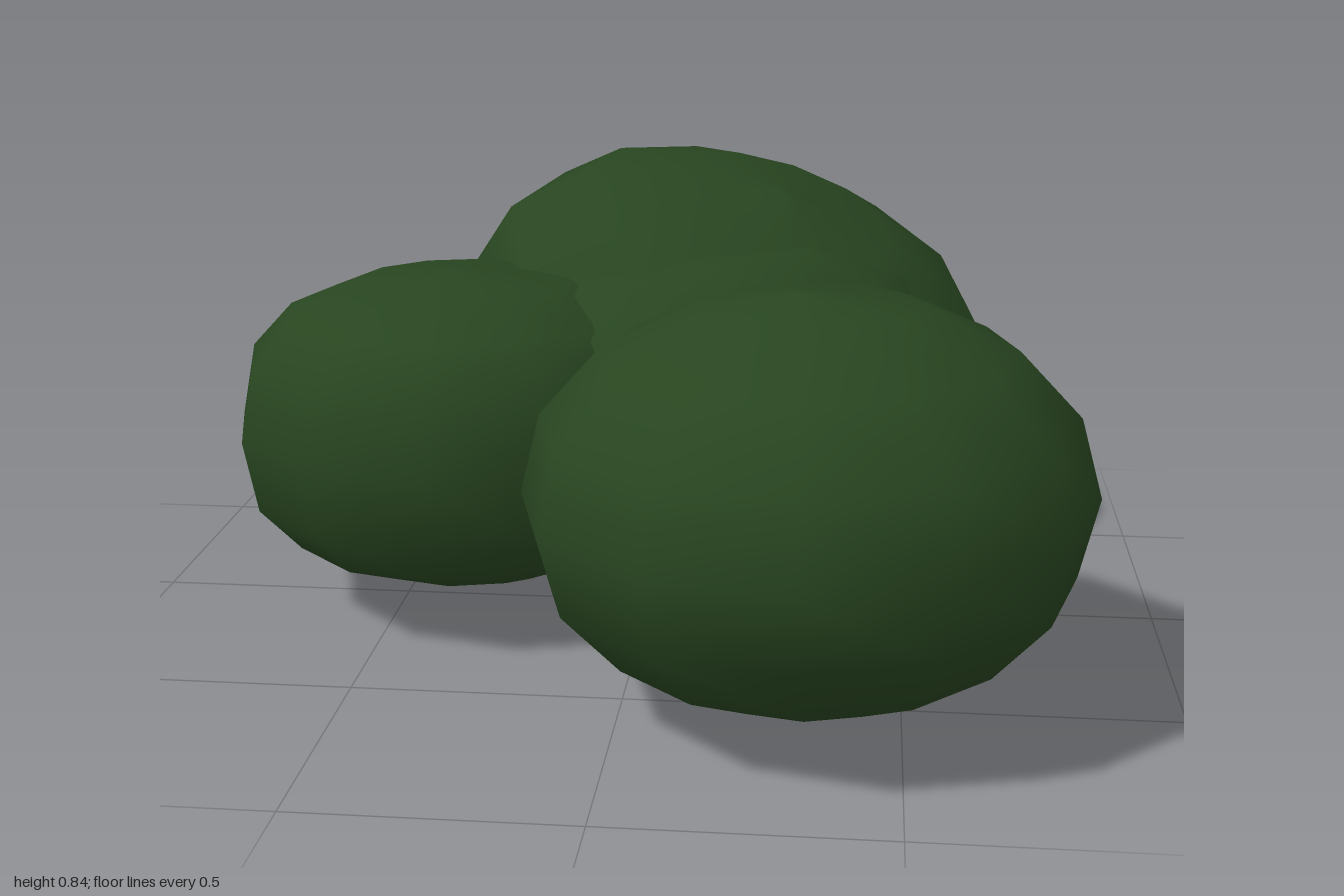
import * as THREE from 'three';

// Coarse 12-sided ball of radius 1; fullness 2 is round, higher is boxier in profile
function clumpGeometry(fullness) {
  const rows = 8;
  const points = [];
  for (let i = 0; i <= rows; i++) {
    const angle = -Math.PI / 2 + (Math.PI * i) / rows;
    const c = i % rows === 0 ? 0 : Math.cos(angle);
    const s = Math.sin(angle);
    const k = 2 / fullness;
    points.push(new THREE.Vector2(Math.pow(c, k), Math.sign(s) * Math.pow(Math.abs(s), k)));
  }
  return new THREE.LatheGeometry(points, 12);
}

export function createModel() {
  const group = new THREE.Group();
  group.name = 'bush';
  const leafGreen = new THREE.MeshStandardMaterial({ color: 0x284520 });
  leafGreen.name = 'leafGreen';
  const up = new THREE.Vector3(0, 1, 0);

  // radii are given before tilting; axis is the direction the flat top faces
  function addClump(name, position, radii, axis, fullness) {
    const mesh = new THREE.Mesh(clumpGeometry(fullness), leafGreen);
    mesh.name = name;
    mesh.position.set(...position);
    mesh.scale.set(...radii);
    mesh.quaternion.setFromUnitVectors(up, new THREE.Vector3(...axis).normalize());
    group.add(mesh);
  }

  addClump('frontClump', [0.325, 0.395, 0.482], [0.507, 0.365, 0.513], [-0.02, 1, 0], 2.07);
  addClump('backClump', [0.135, 0.425, -0.42], [0.59, 0.385, 0.586], [0.31, 0.93, 0.2], 2.15);
  addClump('sideClump', [-0.375, 0.376, -0.01], [0.456, 0.3, 0.448], [0, 1, 0], 2.55);
  addClump('middleClump', [-0.02, 0.385, -0.29], [0.62, 0.285, 0.57], [-0.22, 0.94, -0.2], 2.1);

  return group;
}
